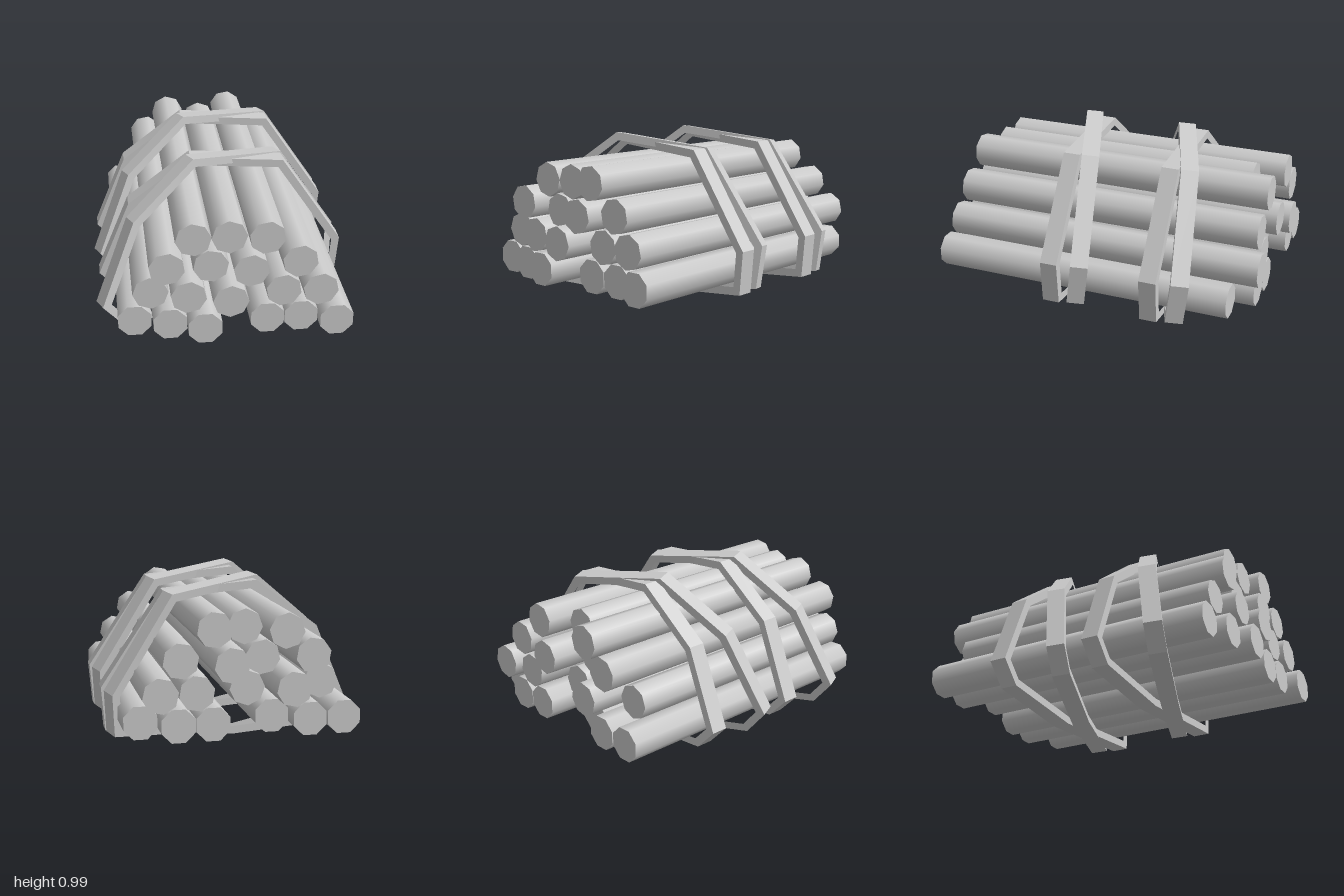
import * as THREE from 'three';

const material = new THREE.MeshStandardMaterial({ color: 0xcccccc });
const RADIUS = 0.103;
const STRAP_WIDTH = 0.105;
const STRAP_THICKNESS = 0.048;

// Each log: x, y, back z, front z, roll in degrees
const LOGS = [
  // bottom row
  [-0.556, 0.245, -0.96, 0.88, 0], [-0.356, 0.245, -0.96, 0.935, 0], [-0.162, 0.245, -0.85, 1, 0],
  [0.203, 0.245, -0.96, 0.935, 0], [0.398, 0.245, -0.96, 0.935, 0], [0.594, 0.245, -0.85, 1, 0],
  // second row
  [-0.462, 0.425, -0.81, 0.88, 25], [-0.251, 0.43, -1, 0.955, 13], [-0.017, 0.415, -0.85, 1, 20],
  [0.294, 0.425, -0.96, 0.935, 10], [0.504, 0.43, -1, 0.955, 13],
  // third row
  [-0.371, 0.61, -0.96, 0.935, 10], [-0.117, 0.58, -0.81, 0.88, 33],
  [0.103, 0.58, -1, 0.955, 13], [0.384, 0.61, -0.96, 0.935, 10],
  // top row
  [-0.216, 0.755, -0.96, 0.88, 28], [-0.012, 0.76, -0.81, 0.88, 25], [0.193, 0.775, -0.96, 0.935, 10],
];

// Clockwise outer outlines of the two kinds of strap
const STRAIGHT = [[-0.17, 0.968], [0.39, 0.922], [0.765, 0.36], [0.743, 0.1],
  [-0.03, 0.03], [-0.62, 0.075], [-0.745, 0.205], [-0.55, 0.68]];
const SLANTED = [[-0.15, 0.999], [0.441, 0.926], [0.808, 0.362], [0.781, 0.106],
  [-0.042, 0.01], [-0.683, 0.065], [-0.797, 0.206], [-0.56, 0.694]];

// Moves every edge of a clockwise outline inward by d, with mitred corners
function inset(points, d) {
  const n = points.length;
  const normal = (a, b) => new THREE.Vector2(b.y - a.y, a.x - b.x).normalize();
  return points.map((p, i) => {
    const n1 = normal(points[(i + n - 1) % n], p);
    const n2 = normal(p, points[(i + 1) % n]);
    return p.clone().addScaledVector(n1.clone().add(n2), d / (1 + n1.dot(n2)));
  });
}

// A closed faceted loop of constant thickness, turned about y and leaning about its own x
function strap(name, outline, z, turn, lean) {
  const outer = outline.map(([x, y]) => new THREE.Vector2(x, y));
  const shape = new THREE.Shape(outer);
  shape.holes.push(new THREE.Path(inset(outer, STRAP_THICKNESS)));
  const geometry = new THREE.ExtrudeGeometry(shape, { depth: STRAP_WIDTH, bevelEnabled: false });
  geometry.translate(0, 0, -STRAP_WIDTH / 2);
  const mesh = new THREE.Mesh(geometry, material);
  mesh.name = name;
  mesh.position.z = z;
  mesh.rotation.set(lean, turn, 0, 'YXZ');
  return mesh;
}

export function createModel() {
  const model = new THREE.Group();
  model.name = 'bundleOfLogs';

  // Eight-sided logs lying along z
  const logs = new THREE.Group();
  logs.name = 'logs';
  LOGS.forEach(([x, y, back, front, roll], i) => {
    const geometry = new THREE.CylinderGeometry(RADIUS, RADIUS, front - back, 8);
    geometry.rotateX(Math.PI / 2);
    geometry.rotateZ(Math.PI / 8 + THREE.MathUtils.degToRad(roll));
    const log = new THREE.Mesh(geometry, material);
    log.name = `log${i + 1}`;
    log.position.set(x, y, (front + back) / 2);
    logs.add(log);
  });
  model.add(logs);

  // Two pairs of crossing straps
  const straps = new THREE.Group();
  straps.name = 'straps';
  straps.add(
    strap('frontStraightStrap', STRAIGHT, 0.222, 0, 0),
    strap('frontSlantedStrap', SLANTED, 0.361, 0.367, -0.111),
    strap('backStraightStrap', STRAIGHT, -0.4, 0, 0),
    strap('backSlantedStrap', SLANTED, -0.263, 0.367, -0.111),
  );
  model.add(straps);
  return model;
}
